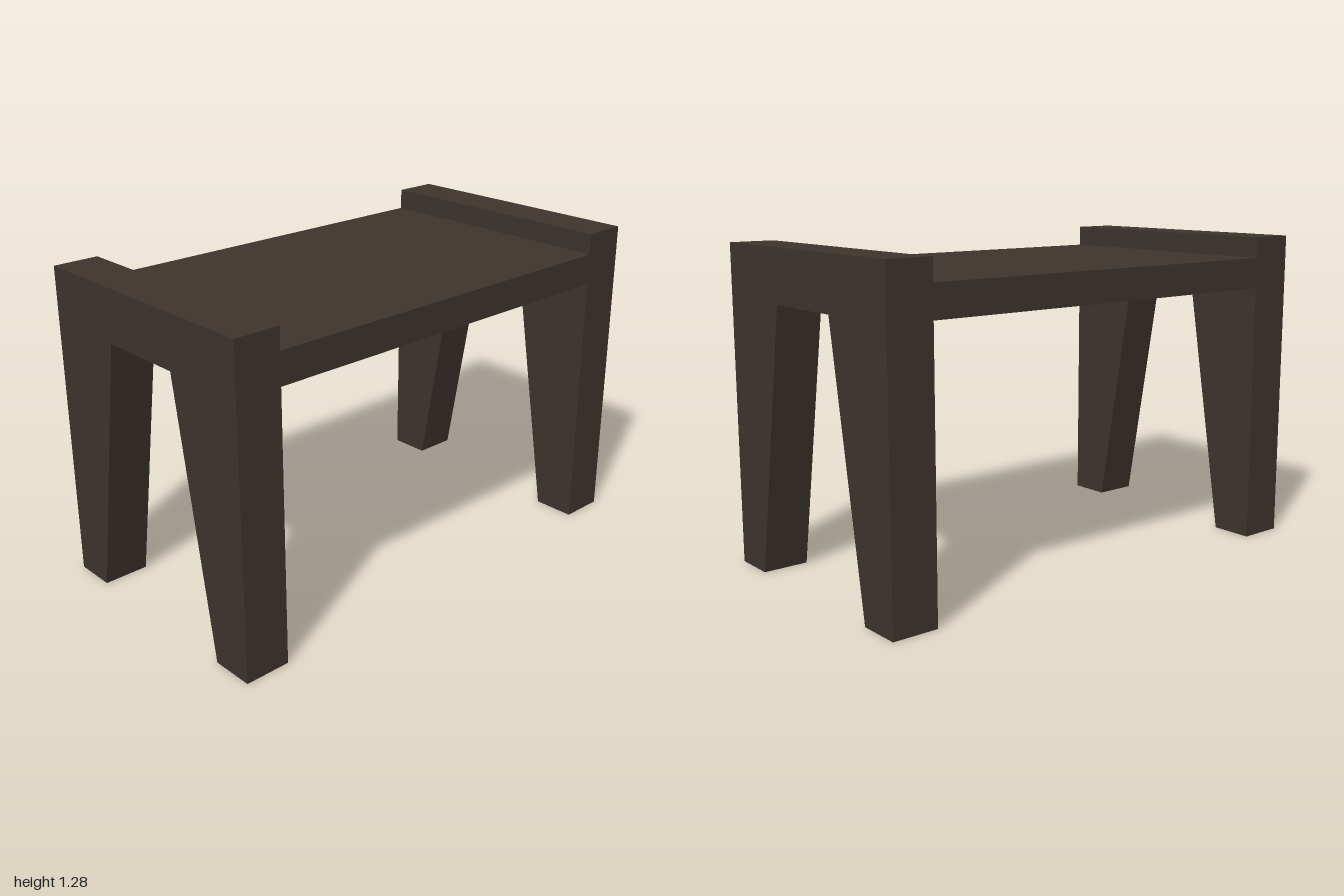
import * as THREE from 'three';

export function createModel() {
  const model = new THREE.Group();
  model.name = 'bench';

  const darkWood = new THREE.MeshStandardMaterial({ color: 0x3d342d });
  darkWood.name = 'dark wood';

  const halfWidth = 0.54, height = 1.28, halfLength = 1;
  const endDepth = 0.185, seatBottom = 1.07, seatTop = 1.195;

  // End frame: one slab with two legs tapering towards the floor
  const outline = new THREE.Shape([
    [-halfWidth, 0], [-0.366, 0], [-0.182, seatBottom], [0.182, seatBottom],
    [0.366, 0], [halfWidth, 0], [halfWidth, height], [-halfWidth, height],
  ].map(([x, y]) => new THREE.Vector2(x, y)));
  const frameGeometry = new THREE.ExtrudeGeometry(outline, { depth: endDepth, bevelEnabled: false });

  for (const [name, z] of [['frontFrame', halfLength - endDepth], ['backFrame', -halfLength]]) {
    const frame = new THREE.Mesh(frameGeometry, darkWood);
    frame.name = name;
    frame.position.z = z;
    model.add(frame);
  }

  // Seat board spanning between the end frames
  const seat = new THREE.Mesh(
    new THREE.BoxGeometry(2 * halfWidth, seatTop - seatBottom, 2 * (halfLength - endDepth)),
    darkWood
  );
  seat.name = 'seat';
  seat.position.y = (seatTop + seatBottom) / 2;
  model.add(seat);

  return model;
}
